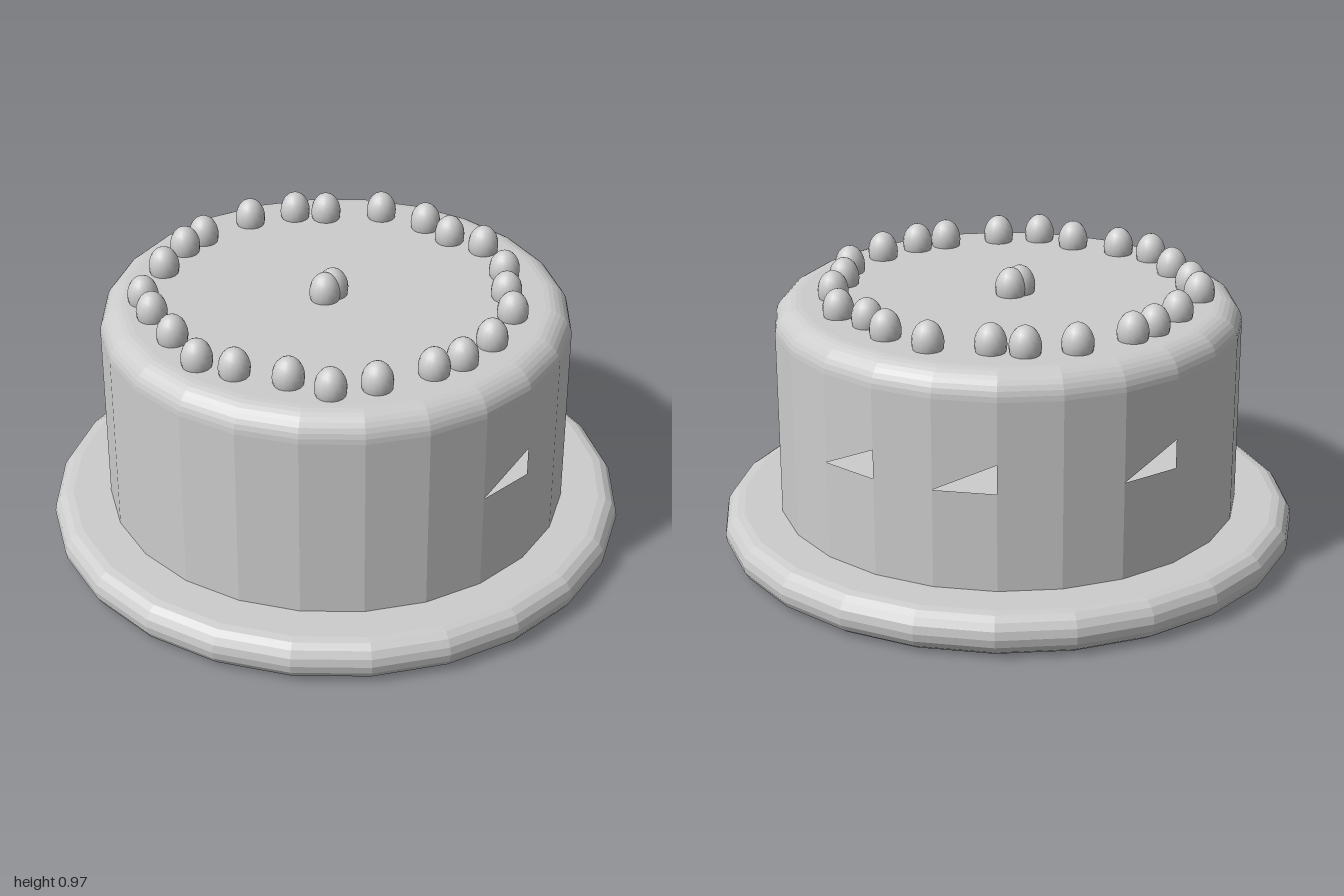
import * as THREE from 'three';

const SIDES = 24;
const material = new THREE.MeshStandardMaterial({ color: 0xcccccc, side: THREE.DoubleSide, flatShading: true });
material.name = 'pale grey';
// same colour, smooth normals for the little drops
const smooth = new THREE.MeshStandardMaterial({ color: 0xcccccc });
smooth.name = 'pale grey smooth';

function add(group, name, geometry, mat = material) {
  const mesh = new THREE.Mesh(geometry, mat);
  mesh.name = name;
  group.add(mesh);
  return mesh;
}

// points of an elliptical arc, angles in degrees
function arc(cx, cy, rx, ry, from, to, steps) {
  return Array.from({ length: steps + 1 }, (_, i) => {
    const a = THREE.MathUtils.degToRad(from + (to - from) * i / steps);
    return new THREE.Vector2(cx + rx * Math.cos(a), cy + ry * Math.sin(a));
  });
}

const lathe = points => new THREE.LatheGeometry(points, SIDES);
const v2 = (x, y) => new THREE.Vector2(x, y);

// ring of flat facets; facets listed in cut lose their lower triangle
function facetBand(radius, low, high, cut) {
  const positions = [];
  for (let i = 0; i < SIDES; i++) {
    const corner = (k, y) => {
      const a = k * 2 * Math.PI / SIDES;
      return [radius * Math.sin(a), y, radius * Math.cos(a)];
    };
    positions.push(...corner(i, low), ...corner(i + 1, high), ...corner(i, high));
    if (!cut.includes(i)) positions.push(...corner(i, low), ...corner(i + 1, low), ...corner(i + 1, high));
  }
  const geometry = new THREE.BufferGeometry();
  geometry.setAttribute('position', new THREE.Float32BufferAttribute(positions, 3));
  geometry.computeVertexNormals();
  return geometry;
}

export function createModel() {
  const model = new THREE.Group();
  model.name = 'cake';

  // plate with a rounded edge
  add(model, 'plate', lathe([v2(0, 0.003), ...arc(0.932, 0.073, 0.068, 0.072, -90, 90, 8), v2(0, 0.145)]));

  // cake body: wall in three bands, the middle one with triangular openings
  add(model, 'lowerWall', lathe([v2(0.8, 0.14), v2(0.8, 0.483)]));
  add(model, 'middleWall', facetBand(0.8, 0.483, 0.582, [2, 9, 11, 14]));
  add(model, 'upperWallAndTop', lathe([v2(0.8, 0.582), ...arc(0.71, 0.79, 0.09, 0.09, 0, 90, 8), v2(0, 0.88)]));

  // drops of icing: a ring and a pair in the middle, as x, z
  const spots = [
    [-0.08, -0.6], [0.03, -0.58], [0.23, -0.565], [0.375, -0.46], [0.445, -0.35], [0.55, -0.26],
    [0.59, -0.07], [0.57, 0.08], [0.565, 0.22], [0.465, 0.39], [0.35, 0.5], [0.25, 0.55],
    [0.06, 0.615], [-0.09, 0.635], [-0.215, 0.555], [-0.38, 0.48], [-0.495, 0.41], [-0.565, 0.245],
    [-0.625, 0.085], [-0.65, -0.03], [-0.57, -0.23], [-0.49, -0.375], [-0.42, -0.45], [-0.245, -0.565],
    [-0.04, 0.02], [-0.01, -0.01],
  ];
  const drops = new THREE.Group();
  drops.name = 'icingDrops';
  const drop = new THREE.SphereGeometry(1, 16, 12).scale(0.053, 0.07, 0.053);
  for (const [x, z] of spots) add(drops, 'icingDrop', drop, smooth).position.set(x, 0.905, z);
  model.add(drops);

  return model;
}
